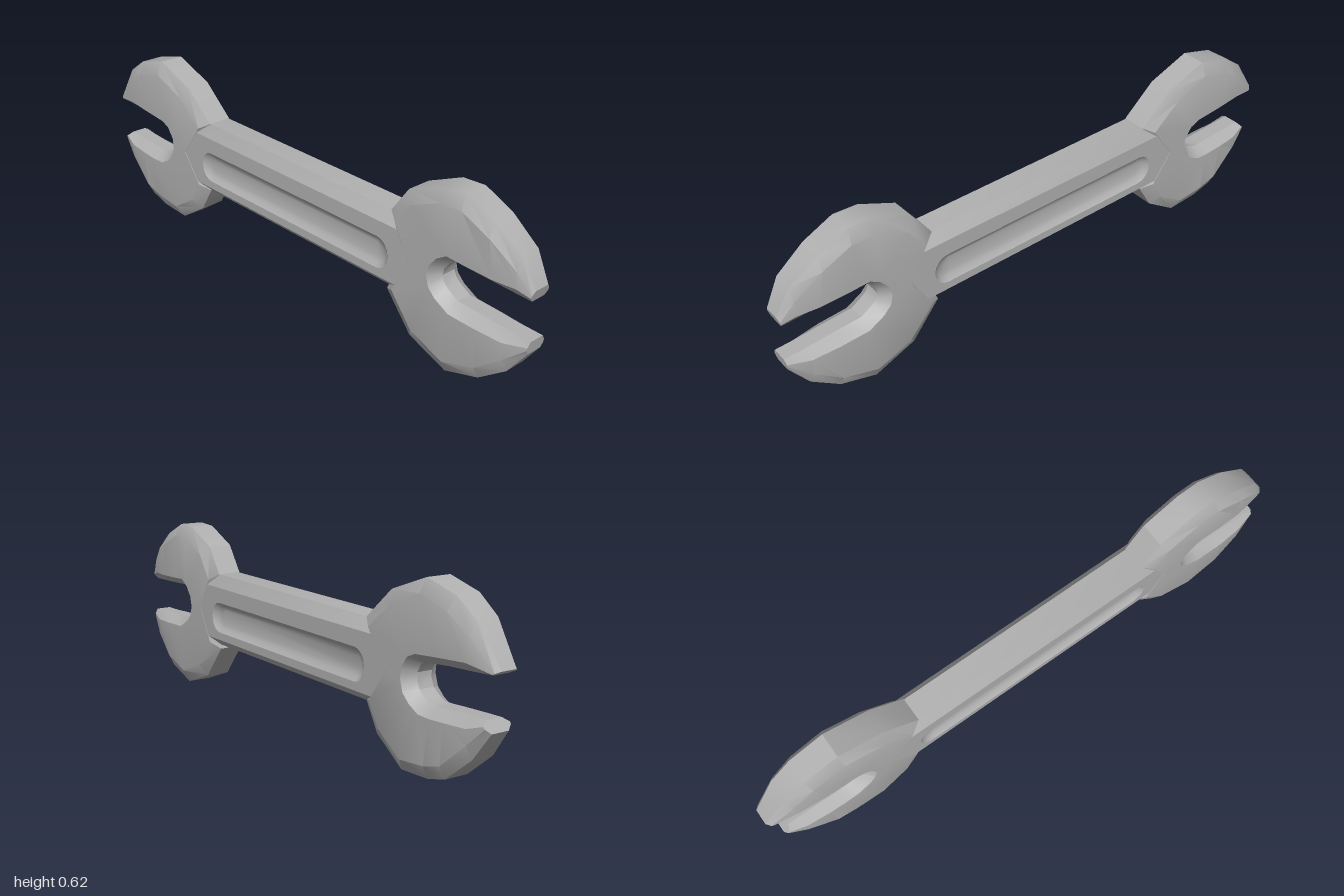
import * as THREE from 'three';
import { toCreasedNormals } from 'three/addons/utils/BufferGeometryUtils.js';

// Skin a list of equal-length rings and close both ends
function loft(rings) {
  const n = rings[0].length, idx = [];
  for (let i = 0; i < rings.length - 1; i++) {
    for (let j = 0; j < n; j++) {
      const k = (j + 1) % n;
      const a = i * n + j, b = i * n + k, c = a + n, d = b + n;
      idx.push(a, c, b, b, c, d);
    }
  }
  const last = (rings.length - 1) * n;
  for (let j = 1; j < n - 1; j++) {
    idx.push(0, j, j + 1);
    idx.push(last, last + j + 1, last + j);
  }
  const geo = new THREE.BufferGeometry();
  geo.setAttribute('position', new THREE.Float32BufferAttribute(rings.flat(2), 3));
  geo.setIndex(idx);
  return toCreasedNormals(geo, 0.5);
}

// Point at a distance from p towards q, limited so bevels never cross
function towards(p, q, dist) {
  const len = Math.hypot(q[0] - p[0], q[1] - p[1]);
  const t = Math.min(dist / len, 0.4);
  return [p[0] + (q[0] - p[0]) * t, p[1] + (q[1] - p[1]) * t];
}

// Jaw: sections run from the outer rim to the slot, swept from tip to tip
function jaw(outer, slot) {
  const thin = (x) => Math.max(0, (Math.abs(x) - 0.75) / 0.25) ** 3;
  return loft(outer.map((o, i) => {
    const s = slot[i];
    const front = [
      [...o, 0.043 - 0.016 * thin(o[0])],
      towards(o, s, 0.045),
      towards(s, o, 0.03),
      [...s, 0.027],
    ].map(([x, y, z]) => [x, y, z ?? 0.067 - 0.03 * thin(x)]);
    const back = front.map(([x, y, z]) => [x, y, -z]).reverse();
    return [...front, ...back];
  }));
}

// Clockwise rounded rectangle at depth z
function roundedRing(x0, x1, y0, y1, r, z) {
  const corners = [[x1 - r, y1 - r], [x1 - r, y0 + r], [x0 + r, y0 + r], [x0 + r, y1 - r]];
  const ring = [];
  corners.forEach(([cx, cy], c) => {
    for (let i = 0; i <= 4; i++) {
      const a = Math.PI / 2 * (1 - c - i / 4);
      ring.push([cx + r * Math.cos(a), cy + r * Math.sin(a), z]);
    }
  });
  return ring;
}

export function createModel() {
  const steel = new THREE.MeshStandardMaterial({ color: 0xb0b0b0 });
  steel.name = 'steel';
  const group = new THREE.Group();
  group.name = 'spanner';
  const add = (name, geo) => {
    const mesh = new THREE.Mesh(geo, steel);
    mesh.name = name;
    group.add(mesh);
  };

  // Handle: bevelled bar with a shallow groove on both faces
  const half = [
    [-0.56, 0.58, 0.195, 0.457, 0.004, 0.04],
    [-0.56, 0.58, 0.222, 0.415, 0.004, 0.066],
    [-0.45, 0.475, 0.25, 0.36, 0.05, 0.066],
    [-0.435, 0.46, 0.264, 0.346, 0.04, 0.053],
    [-0.41, 0.435, 0.28, 0.33, 0.024, 0.047],
  ];
  const backHalf = half.map((h) => [...h.slice(0, 5), -h[5]]).reverse();
  add('handle', loft([...backHalf, ...half].map((h) => roundedRing(...h))));

  // Open jaw on the +x end
  add('leftJaw', jaw(
    [[1, 0.404], [0.95, 0.495], [0.85, 0.565], [0.745, 0.612], [0.66, 0.607], [0.53, 0.55],
      [0.463, 0.457], [0.52, 0.32], [0.457, 0.18], [0.56, 0.056], [0.709, 0], [0.837, 0.04],
      [0.933, 0.11], [0.995, 0.195]],
    [[0.99, 0.366], [0.95, 0.367], [0.88, 0.369], [0.79, 0.373], [0.714, 0.377], [0.69, 0.36],
      [0.67, 0.334], [0.665, 0.31], [0.672, 0.29], [0.687, 0.275], [0.73, 0.249], [0.83, 0.245],
      [0.92, 0.24], [1, 0.238]],
  ));

  // Open jaw on the -x end
  add('rightJaw', jaw(
    [[-0.976, 0.227], [-0.91, 0.136], [-0.805, 0.05], [-0.73, 0.03], [-0.61, 0.024], [-0.49, 0.104],
      [-0.436, 0.195], [-0.51, 0.32], [-0.43, 0.457], [-0.55, 0.56], [-0.706, 0.617], [-0.83, 0.585],
      [-0.91, 0.53], [-1, 0.405]],
    [[-0.95, 0.26], [-0.9, 0.258], [-0.82, 0.254], [-0.76, 0.25], [-0.72, 0.249], [-0.69, 0.262],
      [-0.666, 0.28], [-0.655, 0.305], [-0.655, 0.329], [-0.67, 0.355], [-0.687, 0.366], [-0.79, 0.376],
      [-0.89, 0.382], [-0.97, 0.388]],
  ));
  return group;
}
